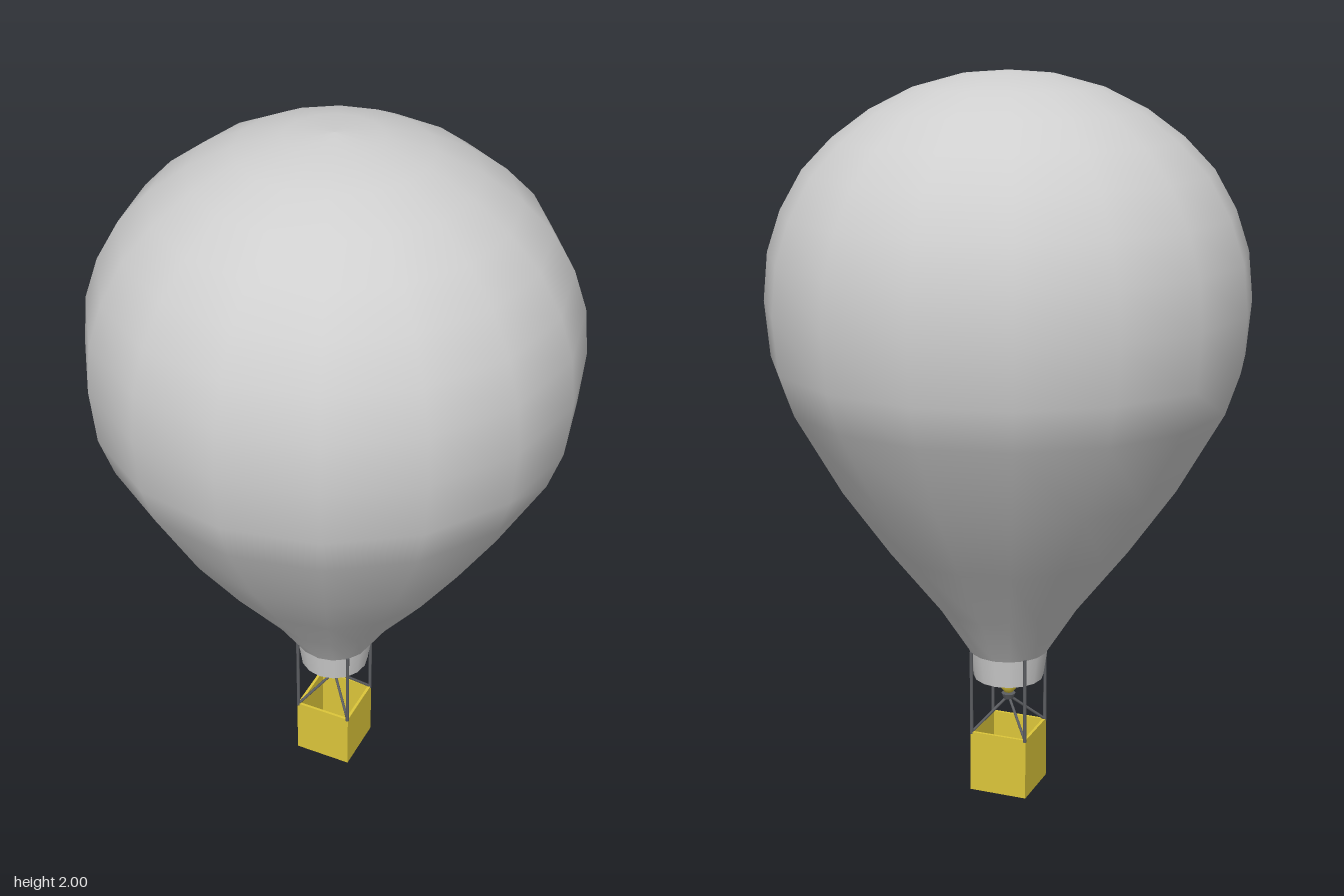
import * as THREE from 'three';

const fabric = new THREE.MeshStandardMaterial({ color: 0xcfcfcf, side: THREE.DoubleSide });
fabric.name = 'grey fabric';
const yellow = new THREE.MeshStandardMaterial({ color: 0xdcc63a });
yellow.name = 'yellow';
const metal = new THREE.MeshStandardMaterial({ color: 0x5c5e62 });
metal.name = 'dark metal';

function add(parent, name, geometry, material, x = 0, y = 0, z = 0) {
  const mesh = new THREE.Mesh(geometry, material);
  mesh.name = name;
  mesh.position.set(x, y, z);
  parent.add(mesh);
  return mesh;
}

// Thin round bar between two points
function addBar(parent, name, from, to, radius) {
  const a = new THREE.Vector3(...from), b = new THREE.Vector3(...to);
  const dir = b.clone().sub(a);
  const bar = add(parent, name, new THREE.CylinderGeometry(radius, radius, dir.length(), 8), metal);
  bar.position.copy(a).add(b).multiplyScalar(0.5);
  bar.quaternion.setFromUnitVectors(new THREE.Vector3(0, 1, 0), dir.normalize());
}

const lathe = (profile, sides) =>
  new THREE.LatheGeometry(profile.map(([r, y]) => new THREE.Vector2(r, y)), sides);

export function createModel() {
  const model = new THREE.Group();
  model.name = 'hotAirBalloon';

  // Envelope with its open mouth, 16 gores
  add(model, 'envelope', lathe([
    [0.11, 0.41], [0.2, 0.55], [0.345, 0.735], [0.475, 0.92], [0.6, 1.14],
    [0.637, 1.25], [0.65, 1.4], [0.637, 1.53], [0.6, 1.64], [0.54, 1.745],
    [0.46, 1.828], [0.362, 1.9], [0.248, 1.957], [0.125, 1.99], [0, 2],
  ], 16), fabric);
  add(model, 'skirt', lathe([[0.098, 0.33], [0.11, 0.41]], 16), fabric);

  // Open basket: floor and four walls
  const basket = new THREE.Group();
  basket.name = 'basket';
  model.add(basket);
  const half = 0.083, height = 0.176, wall = 0.008;
  add(basket, 'floor', new THREE.BoxGeometry(half * 2, wall, half * 2), yellow, 0, wall / 2, 0);
  for (const s of [-1, 1]) {
    const offset = s * (half - wall / 2);
    add(basket, 'sideWall', new THREE.BoxGeometry(wall, height, half * 2), yellow, offset, height / 2, 0);
    add(basket, 'endWall', new THREE.BoxGeometry(half * 2 - wall * 2, height, wall), yellow, 0, height / 2, offset);
  }

  // Corner posts up to the envelope and struts in to the burner
  for (const sx of [-1, 1]) {
    for (const sz of [-1, 1]) {
      const x = sx * 0.08, z = sz * 0.08;
      addBar(model, 'cornerPost', [x, 0.17, z], [x, 0.415, z], 0.005);
      addBar(model, 'burnerStrut', [x, 0.175, z], [0, 0.267, 0], 0.004);
    }
  }

  // Burner nozzle and teardrop flame
  add(model, 'burner', new THREE.CylinderGeometry(0.02, 0.014, 0.016, 12), metal, 0, 0.267, 0);
  add(model, 'flame', lathe([
    [0, 0.275], [0.012, 0.279], [0.022, 0.291], [0.025, 0.305],
    [0.021, 0.319], [0.012, 0.333], [0, 0.348],
  ], 12), yellow);

  return model;
}
